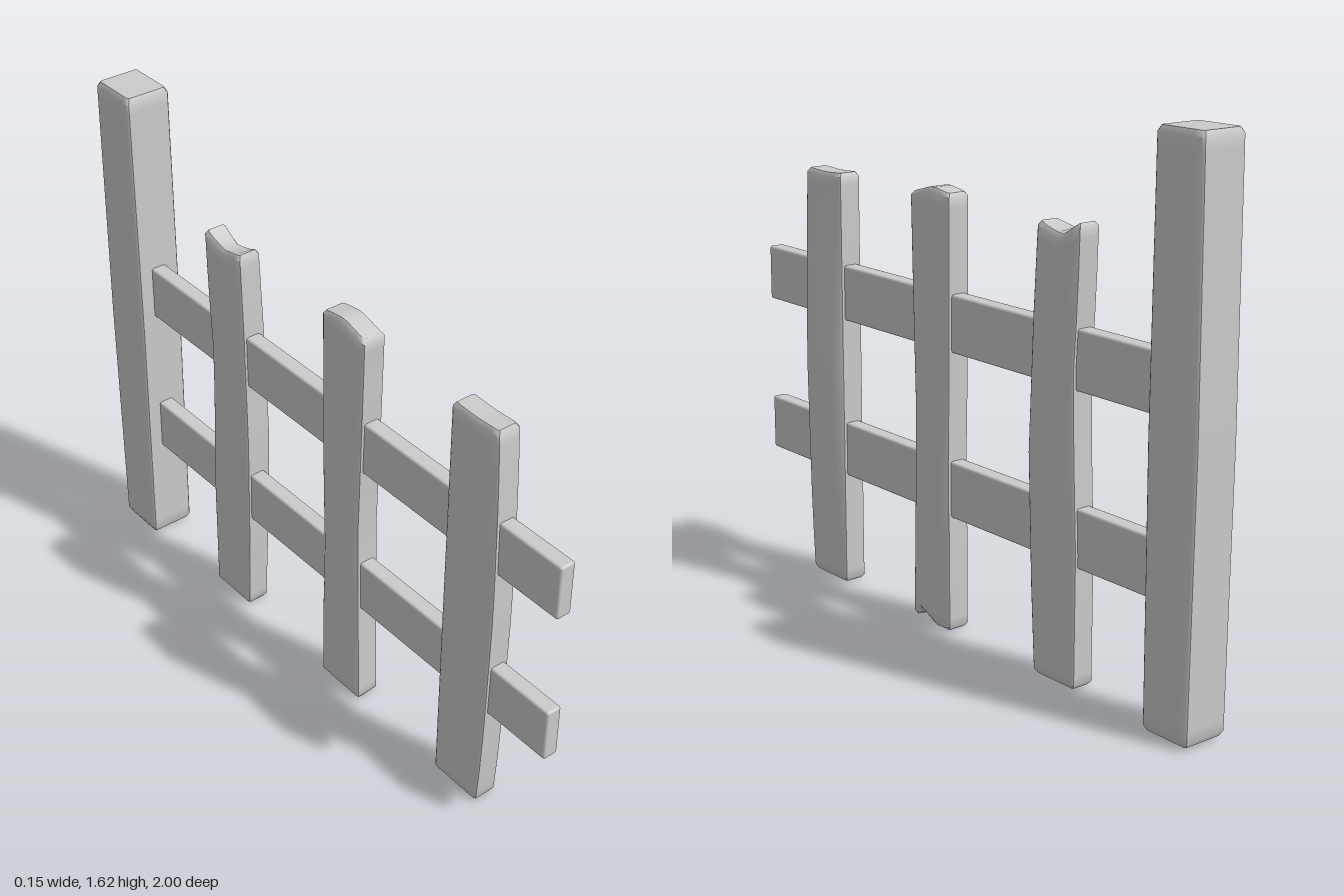
import * as THREE from 'three';
import { toCreasedNormals } from 'three/addons/utils/BufferGeometryUtils.js';
import { RoundedBoxGeometry } from 'three/addons/geometries/RoundedBoxGeometry.js';

const material = new THREE.MeshStandardMaterial({ color: 0xcccccc });
const none = () => 0;
const smooth = (points) => (v) => {
  // piecewise-linear lookup through [position, value] pairs
  if (v <= points[0][0]) return points[0][1];
  for (let i = 1; i < points.length; i++) {
    const [a, fa] = points[i - 1], [b, fb] = points[i];
    if (v <= b) return fa + (fb - fa) * (v - a) / (b - a);
  }
  return points[points.length - 1][1];
};

// Upright timber lofted from bevelled sections. t runs -1..1 across z, u runs 0..1 up y.
function timber(name, { halfX, x = 0, y0, zBack, zFront, bevel = 0.012, top, bottom = none, bulge = none }) {
  const cols = [[-1, 1], [-1, 0.3], [-0.93, 0], [-0.6, 0], [-0.2, 0], [0.1, 0], [0.4, 0], [0.7, 0], [0.93, 0], [1, 0.3], [1, 1]];
  const levels = [0, 0, 0.03, 0.1, 0.2, 0.3, 0.4, 0.5, 0.6, 0.7, 0.8, 0.9, 0.97, 1, 1];
  const n = cols.length, m = n * 2, last = levels.length - 1;
  const pos = [], idx = [];
  levels.forEach((u, j) => {
    const end = j === 0 || j === last;
    const nearEnd = j === 1 ? bevel : j === last - 1 ? -bevel : 0;
    for (let i = 0; i < m; i++) {
      const side = i < n ? 1 : -1;
      const [t, cut] = cols[i < n ? i : m - 1 - i];
      const inset = end ? 0.008 : 0;
      const b = zBack(u), f = zFront(u);
      const z = (b + f) / 2 + t * ((f - b) / 2 - inset);
      const lo = y0 + bottom(t, side), hi = top(t, side);
      const px = x + side * (halfX - inset - cut * bevel) + (side > 0 ? bulge(t, u) : 0);
      pos.push(px, lo + (hi - lo) * u + nearEnd, z);
    }
  });
  for (let j = 0; j < last; j++) {
    for (let i = 0; i < m; i++) {
      const a = j * m + i, b = j * m + (i + 1) % m;
      idx.push(a, a + m, b, b, a + m, b + m);
    }
  }
  // end caps
  const o = last * m;
  for (let k = 0; k < n - 1; k++) {
    const p = k, p1 = k + 1, q = m - 1 - k, q1 = m - 2 - k;
    idx.push(o + p, o + q, o + p1, o + p1, o + q, o + q1);
    idx.push(p, p1, q, p1, q1, q);
  }
  const geometry = new THREE.BufferGeometry();
  geometry.setAttribute('position', new THREE.Float32BufferAttribute(pos, 3));
  geometry.setIndex(idx);
  const mesh = new THREE.Mesh(toCreasedNormals(geometry, 0.7), material);
  mesh.name = name;
  return mesh;
}

export function createModel() {
  const group = new THREE.Group();
  group.name = 'fence';

  // Tall square post at the back end
  group.add(timber('post', {
    halfX: 0.073, y0: 0.012, bevel: 0.016,
    zBack: smooth([[0, -0.992], [0.5, -1], [1, -0.994]]),
    zFront: smooth([[0, -0.828], [0.5, -0.822], [1, -0.828]]),
    top: () => 1.626,
  }));

  // Two horizontal rails
  [['lowerRail', 0.448], ['upperRail', 0.953]].forEach(([name, y]) => {
    const rail = new THREE.Mesh(new RoundedBoxGeometry(0.05, 0.174, 1.84, 2, 0.008), material);
    rail.name = name;
    rail.position.set(0, y, 0.08);
    group.add(rail);
  });

  // Front picket: bowed edge and a swollen outer face
  const swell = smooth([[0, 0], [0.53, 0.034], [0.95, 0]]);
  const ridge = smooth([[-1, 0], [-0.1, 1], [0.93, 0.1], [1, 0]]);
  group.add(timber('frontPicket', {
    halfX: 0.038, y0: 0.004,
    zBack: () => 0.58,
    zFront: smooth([[0, 0.757], [0.15, 0.769], [0.55, 0.778], [0.85, 0.768], [1, 0.757]]),
    top: smooth([[-1, 1.327], [0, 1.323], [1, 1.327]]),
    bulge: (t, u) => swell(u) * ridge(t),
  }));

  // Middle picket: domed top and a chipped bottom corner
  const chip = smooth([[-0.2, 0], [0.4, 0.022], [0.75, 0.034], [1, 0.004]]);
  group.add(timber('middlePicket', {
    halfX: 0.038, y0: 0.004,
    zBack: smooth([[0, 0.046], [0.2, 0.046], [0.35, 0.053], [0.6, 0.046], [1, 0.044]]),
    zFront: smooth([[0, 0.22], [0.25, 0.212], [0.5, 0.206], [0.75, 0.216], [1, 0.224]]),
    top: smooth([[-1, 1.335], [-0.2, 1.345], [0.1, 1.343], [1, 1.322]]),
    bottom: (t, side) => (side > 0 ? chip(t) : 0),
  }));

  // Rear picket: splintered notch on top and a warped body
  const outerNotch = smooth([[-1, 1.328], [-0.2, 1.29], [0.1, 1.292], [0.7, 1.304], [1, 1.315]]);
  const innerNotch = smooth([[-1, 1.328], [-0.6, 1.314], [0.1, 1.3], [1, 1.314]]);
  const warp = smooth([[0, 0], [0.5, 0.012], [1, 0]]);
  group.add(timber('rearPicket', {
    halfX: 0.037, y0: 0.004,
    zBack: smooth([[0, -0.512], [0.3, -0.512], [0.5, -0.5], [0.68, -0.492], [0.85, -0.506], [1, -0.512]]),
    zFront: smooth([[0, -0.342], [0.2, -0.332], [0.5, -0.325], [0.8, -0.332], [1, -0.342]]),
    top: (t, side) => (side > 0 ? outerNotch(t) : innerNotch(t)),
    bulge: (t, u) => warp(u) * (t + 1) / 2,
  }));

  return group;
}
